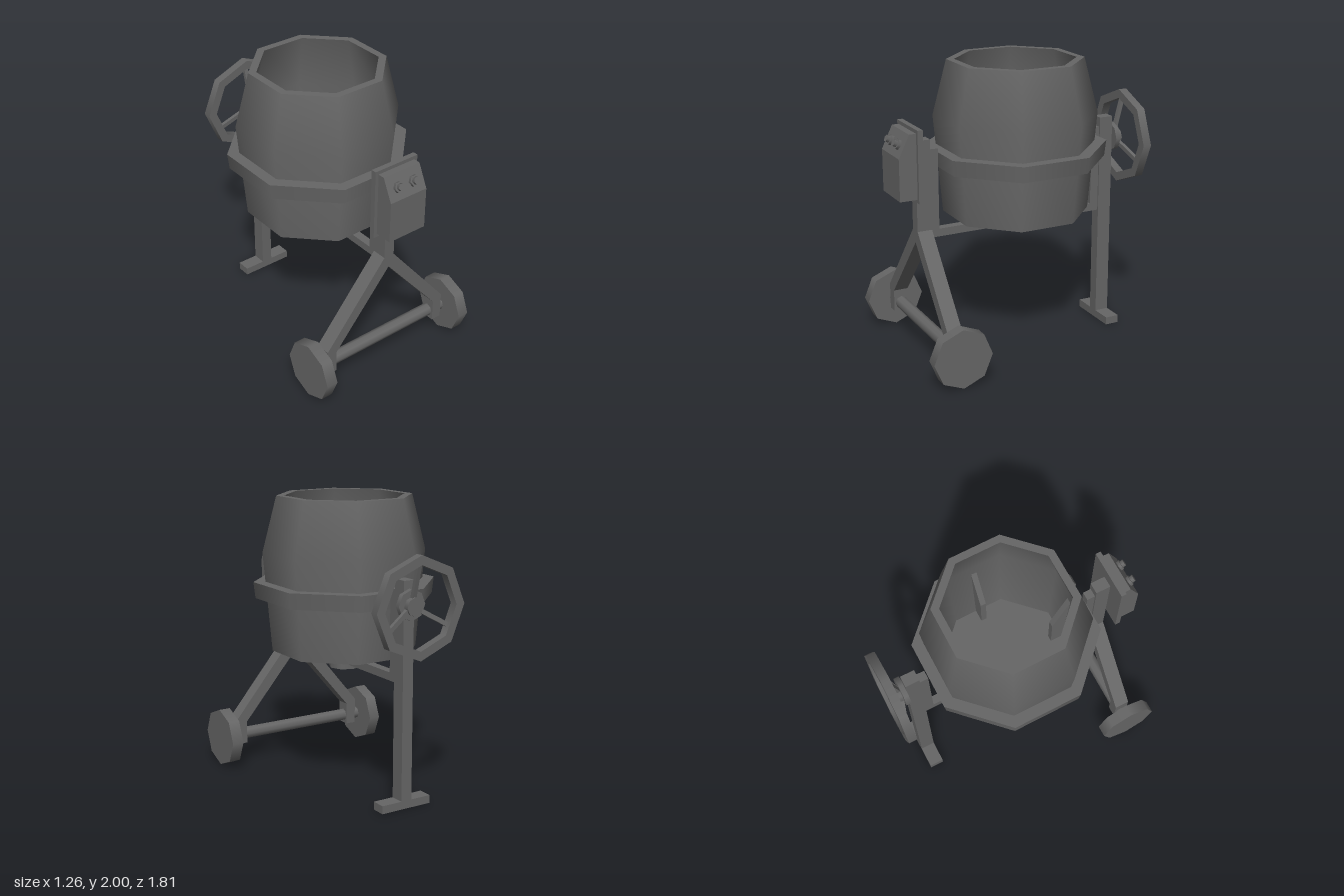
import * as THREE from 'three';

const mat = new THREE.MeshStandardMaterial({ color: 0x666666 });
const OCT = Math.cos(Math.PI / 8);
const DRUM_Z = -0.02, PIVOT_Y = 1.365;

export function createModel() {
  const root = new THREE.Group();

  const add = (name, geo, x = 0, y = 0, z = 0, parent = root) => {
    const m = new THREE.Mesh(geo, mat);
    m.name = name;
    m.position.set(x, y, z);
    parent.add(m);
    return m;
  };
  // Box given by its min/max limits
  const box = (name, x0, x1, y0, y1, z0, z1) =>
    add(name, new THREE.BoxGeometry(x1 - x0, y1 - y0, z1 - z0),
      (x0 + x1) / 2, (y0 + y1) / 2, (z0 + z1) / 2);
  // Eight-sided lathe, smooth around; profile corners are sharp unless marked soft
  const octLathe = (pts, scale, start) => {
    const p = pts.flatMap(([r, y, soft], i) => {
      const v = () => new THREE.Vector2(r * scale, y);
      return soft || i === 0 || i === pts.length - 1 ? [v()] : [v(), v()];
    });
    return new THREE.LatheGeometry(p, 8, start);
  };
  const cylZ = (name, r, z0, z1, y) => {
    const g = new THREE.CylinderGeometry(r, r, z1 - z0, 8).rotateX(Math.PI / 2);
    add(name, g, 0, y, (z0 + z1) / 2);
  };
  const extrude = (pts, depth) => new THREE.ExtrudeGeometry(
    new THREE.Shape(pts.map(([x, y]) => new THREE.Vector2(x, y))), { depth, bevelEnabled: false });

  // Drum: open hollow shell with flats facing the axes and a soft belly
  add('drum', octLathe([[0, 0.94], [0.465, 0.94], [0.52, 1.62, true], [0.43, 2], [0.38, 2],
    [0.47, 1.61, true], [0.425, 0.98], [0, 0.98]], 1 / OCT, Math.PI / 8), 0, 0, DRUM_Z);
  add('drumRing', octLathe([[0.48, 1.31], [0.568, 1.31], [0.58, 1.42], [0.48, 1.42], [0.48, 1.31]],
    1 / OCT, Math.PI / 8), 0, 0, DRUM_Z);
  add('drumHub', new THREE.CylinderGeometry(0.112, 0.112, 0.14, 8), 0, 0.88, DRUM_Z);

  // Mixing blades on the inner wall, sloping down towards the middle
  const blades = new THREE.Group();
  blades.name = 'mixingBlades';
  blades.position.z = DRUM_Z;
  root.add(blades);
  const fin = [[0.34, 0.97], [0.43, 0.97], [0.475, 1.55], [0.34, 1.25]];
  for (let i = 0; i < 4; i++) {
    const g = extrude(fin, 0.04).translate(0, 0, -0.02).rotateY(i * Math.PI / 2);
    add('blade', g, 0, 0, 0, blades);
  }

  // U-shaped yoke cradling the drum, its arms resting against both stands
  const yoke = [[-0.63, 1.455], [-0.63, 0.84], [0.67, 0.84], [0.67, 1.455],
    [0.608, 1.455], [0.608, 0.895], [-0.572, 0.895], [-0.572, 1.455]];
  add('yoke', extrude(yoke, 0.06).rotateY(Math.PI / 2), -0.03);

  // Front stand: post that splits into two splayed legs
  box('frontPost', -0.04, 0.04, 0.9, 1.525, 0.63, 0.735);
  const half = [[0.04, 0.9], [0.51, 0.335], [0.51, 0.145], [0.435, 0.145], [0.435, 0.305]];
  const outline = [...half, [0, 0.815], ...half.map(([x, y]) => [-x, y]).reverse()];
  add('frontLegs', extrude(outline, 0.105), 0, 0, 0.63);

  // Back stand
  box('backLeg', -0.04, 0.04, 0.055, 1.525, -0.77, -0.67);
  box('backFoot', -0.19, 0.19, 0, 0.055, -0.77, -0.67);

  // Axle and road wheels
  add('axle', new THREE.CylinderGeometry(0.045, 0.045, 1.12, 8).rotateZ(Math.PI / 2), 0, 0.207, 0.68);
  for (const s of [1, -1]) {
    add(s > 0 ? 'leftWheel' : 'rightWheel',
      new THREE.CylinderGeometry(0.207, 0.207, 0.083, 8).rotateZ(Math.PI / 2), s * 0.59, 0.207, 0.68);
  }

  // Motor housing with a sloped top face and two bolt-like buttons
  box('housingPlate', -0.172, 0.172, 1.137, 1.63, 0.735, 0.772);
  const side = [[-0.77, 1.162], [-0.77, 1.605], [-0.82, 1.605], [-0.895, 1.45], [-0.895, 1.162]];
  add('motorHousing', extrude(side, 0.294).rotateY(Math.PI / 2), -0.147);
  for (const s of [1, -1]) {
    const button = new THREE.Group();
    button.name = s > 0 ? 'leftButton' : 'rightButton';
    button.position.set(s * 0.063, 1.523, 0.857);
    button.rotation.x = 1.11;
    root.add(button);
    const hex = (name, r, h, y) => add(name,
      new THREE.CylinderGeometry(r, r, h, 6, 1, false, Math.PI / 2), 0, y, 0, button);
    hex('buttonBase', 0.037, 0.024, 0.01);
    hex('buttonCap', 0.025, 0.03, 0.03);
  }

  // Tilting handwheel
  cylZ('handwheelFlange', 0.103, -0.805, -0.77, 1.37);
  cylZ('handwheelHub', 0.062, -0.842, -0.8, PIVOT_Y);
  const rim = octLathe([[0.275, -0.03], [0.338, -0.03], [0.338, 0.03], [0.275, 0.03], [0.275, -0.03]], 1, 0);
  add('handwheelRim', rim.rotateX(Math.PI / 2), 0, PIVOT_Y, -0.875);
  for (let i = 0; i < 3; i++) {
    // Spokes slant outwards from the hub to the rim
    const a = Math.PI / 2 + i * Math.PI * 2 / 3;
    const from = new THREE.Vector3(Math.cos(a) * 0.03, PIVOT_Y + Math.sin(a) * 0.03, -0.81);
    const to = new THREE.Vector3(Math.cos(a) * 0.285, PIVOT_Y + Math.sin(a) * 0.285, -0.875);
    const spoke = add('handwheelSpoke', new THREE.BoxGeometry(0.03, 0.025, from.distanceTo(to)));
    spoke.position.lerpVectors(from, to, 0.5);
    spoke.up.set(0, 0, 1);
    spoke.lookAt(to);
  }

  return root;
}
